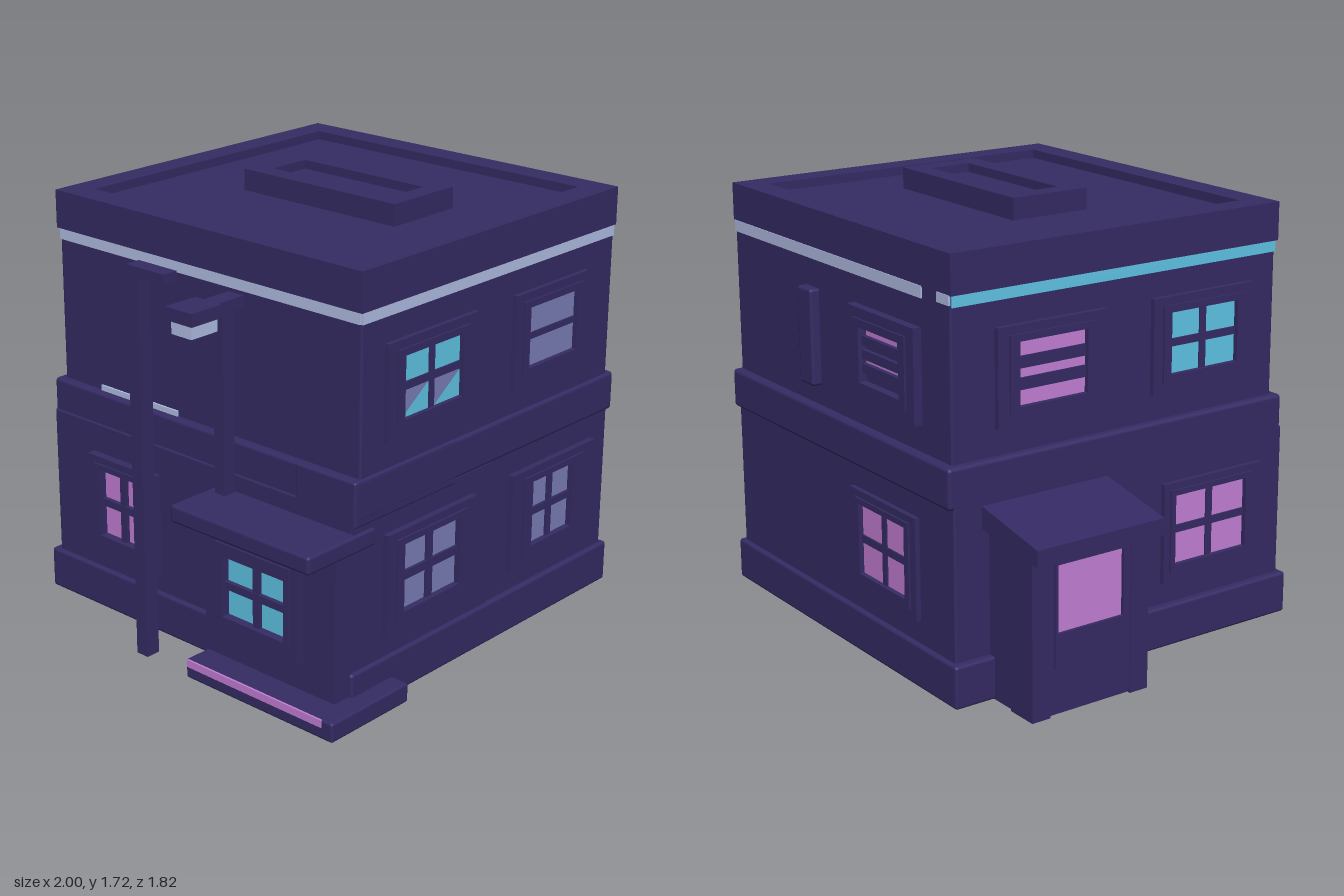
import * as THREE from 'three';
import { RoundedBoxGeometry } from 'three/addons/geometries/RoundedBoxGeometry.js';

const mat = (name, color) => {
  const m = new THREE.MeshStandardMaterial({ color });
  m.name = name;
  return m;
};
const wall = mat('dark indigo', 0x352b64);
const under = mat('deep plum', 0x421a62);
const lavender = mat('lavender glass', 0x7b7db6);
const pale = mat('pale strip light', 0xb2bee6);
const cyan = mat('cyan glass', 0x64cdf0);
const pink = mat('pink glass', 0xc47fd6);

export function createModel() {
  const model = new THREE.Group();
  model.name = 'house';

  const add = (name, geo, m, parent = model) => {
    const mesh = new THREE.Mesh(geo, m);
    mesh.name = name;
    parent.add(mesh);
    return mesh;
  };

  // Box given by its extents; r > 0 softens the edges
  const box = (name, x0, x1, y0, y1, z0, z1, m = wall, r = 0, parent = model) => {
    const s = [x1 - x0, y1 - y0, z1 - z0];
    const geo = r ? new RoundedBoxGeometry(...s, 2, r) : new THREE.BoxGeometry(...s);
    geo.translate((x0 + x1) / 2, (y0 + y1) / 2, (z0 + z1) / 2);
    return add(name, geo, m, parent);
  };

  // Rectangle [a0, a1, b0, b1] with a rectangular hole, extruded along z
  const corners = ([a0, a1, b0, b1]) =>
    [[a0, b0], [a1, b0], [a1, b1], [a0, b1]].map((p) => new THREE.Vector2(...p));
  const ring = (out, inn, depth) => {
    const shape = new THREE.Shape(corners(out));
    shape.holes.push(new THREE.Path(corners(inn)));
    return new THREE.ExtrudeGeometry(shape, { depth, bevelEnabled: false });
  };

  // Main storeys
  box('plinth', -0.695, 0.925, 0.002, 0.17, -0.9, 0.68, wall, 0.012);
  box('groundFloor', -0.665, 0.905, 0.1, 0.78, -0.88, 0.66, wall, 0.01);
  box('floorBand', -0.665, 0.915, 0.75, 0.908, -0.9, 0.655, wall, 0.015);
  box('floorBandCorner', 0.63, 0.914, 0.73, 0.908, 0.09, 0.66, wall, 0.01);
  box('upperFloor', -0.635, 0.903, 0.85, 1.55, -0.865, 0.622, wall, 0.01);
  box('wallSeam', 0.9, 0.91, 0.17, 0.75, -0.115, 0.66);

  // Strip lights below the parapet
  box('frontStripLight', -0.63, 0.898, 1.477, 1.522, 0.62, 0.628, pale);
  box('rightStripLight', 0.9, 0.908, 1.477, 1.522, -0.86, 0.622, pale);
  box('backStripLight', -0.46, 0.898, 1.477, 1.522, -0.871, -0.863, pale);
  box('backStripLightEnd', -0.635, -0.56, 1.485, 1.522, -0.871, -0.863, pale);
  box('leftStripLight', -0.641, -0.633, 1.477, 1.522, -0.86, 0.62, cyan);
  box('ledgeLight', -0.42, 0, 0.905, 0.93, 0.622, 0.63, pale);

  // Roof with a raised rim and a hollow vent
  const flat = (name, out, inn, y0, y1) => {
    const g = ring(out, inn, y1 - y0);
    g.rotateX(-Math.PI / 2).translate(0, y0, 0);
    return add(name, g, wall);
  };
  flat('parapet', [-0.645, 0.91, -0.63, 0.868], [-0.54, 0.8, -0.52, 0.76], 1.52, 1.67);
  box('roofDeck', -0.58, 0.84, 1.53, 1.635, -0.8, 0.56);
  flat('roofVent', [-0.2, 0.56, -0.05, 0.29], [-0.12, 0.48, 0.03, 0.21], 1.63, 1.72);
  box('roofVentFloor', -0.14, 0.5, 1.62, 1.685, -0.23, -0.01);

  // Windows: out and inn are [a0, a1, y0, y1], a being world x or z along the wall
  const faces = {
    front: { turn: 0, sign: 1 },
    right: { turn: Math.PI / 2, sign: -1 },
    back: { turn: Math.PI, sign: -1 },
    left: { turn: -Math.PI / 2, sign: 1 },
  };
  const addWindow = (name, face, offset, out, inn, cols, rows, glass, bar = 0.03, depth = 0.035) => {
    const { turn, sign } = faces[face];
    const local = ([a, b, c, d]) => (sign > 0 ? [a, b, c, d] : [-b, -a, c, d]);
    const o = local(out), i = local(inn);
    const g = new THREE.Group();
    g.name = name;
    g.rotation.y = turn;
    g.position.set(Math.sin(turn) * offset, 0, Math.cos(turn) * offset);
    model.add(g);
    add('frame', ring(o, i, depth), wall, g);
    const mid = o.map((v, k) => v * 0.45 + i[k] * 0.55);
    add('innerTrim', ring(mid, i, depth + 0.008), wall, g);
    const w = (i[1] - i[0]) / cols, h = (i[3] - i[2]) / rows;
    for (let c = 0; c < cols; c++)
      for (let r = 0; r < rows; r++) {
        const x = i[0] + c * w, y = i[2] + r * h;
        box('pane', x, x + w, y, y + h, 0.001, 0.008, glass[(r * cols + c) % glass.length], 0, g);
      }
    for (let c = 1; c < cols; c++)
      box('mullion', i[0] + c * w - bar / 2, i[0] + c * w + bar / 2, i[2], i[3], 0, depth * 0.7, wall, 0, g);
    for (let r = 1; r < rows; r++)
      box('crossbar', i[0], i[1], i[2] + r * h - bar / 2, i[2] + r * h + bar / 2, 0, depth * 0.75, wall, 0, g);
  };
  addWindow('frontWindow', 'front', 0.66, [-0.44, -0.07, 0.25, 0.66], [-0.37, -0.14, 0.33, 0.61], 2, 2, [pink]);
  addWindow('porchWindow', 'front', 0.757, [0.31, 0.76, 0.2, 0.63], [0.395, 0.7, 0.27, 0.515], 2, 2, [cyan]);
  addWindow('rightUpperFrontWindow', 'right', 0.902, [0, 0.5, 1.01, 1.38], [0.09, 0.415, 1.08, 1.32], 2, 2, [lavender, lavender, cyan, cyan], 0.03, 0.02);
  addWindow('rightUpperBackWindow', 'right', 0.902, [-0.68, -0.23, 1.01, 1.38], [-0.61, -0.31, 1.08, 1.32], 1, 2, [lavender], 0.025, 0.02);
  addWindow('rightLowerFrontWindow', 'right', 0.91, [-0.01, 0.5, 0.26, 0.66], [0.095, 0.415, 0.335, 0.605], 2, 2, [lavender], 0.035, 0.025);
  addWindow('rightLowerBackWindow', 'right', 0.905, [-0.77, -0.24, 0.26, 0.66], [-0.62, -0.36, 0.335, 0.605], 2, 2, [lavender], 0.03, 0.025);
  addWindow('backUpperWindow', 'back', 0.865, [-0.45, 0, 1.01, 1.37], [-0.36, -0.09, 1.09, 1.3], 1, 4, [wall, pink, wall, pink], 0.035);
  addWindow('backLowerWindow', 'back', 0.88, [-0.44, 0.01, 0.26, 0.66], [-0.375, -0.06, 0.33, 0.61], 2, 2, [pink], 0.03, 0.02);
  addWindow('leftUpperBackWindow', 'left', 0.635, [-0.68, -0.2, 1.01, 1.38], [-0.59, -0.29, 1.08, 1.32], 1, 3, [pink], 0.045, 0.02);
  addWindow('leftUpperFrontWindow', 'left', 0.635, [0.02, 0.5, 1.01, 1.38], [0.1, 0.42, 1.08, 1.32], 2, 2, [cyan], 0.03, 0.02);
  addWindow('leftLowerWindow', 'left', 0.665, [0.06, 0.54, 0.26, 0.66], [0.11, 0.46, 0.33, 0.61], 2, 2, [pink], 0.03, 0.02);

  // Slanted cyan tint across the two lower panes of one side window
  for (const z of [0.415, 0.235]) {
    const tint = new THREE.Shape([[-z, 1.08], [0.15 - z, 1.08], [0.15 - z, 1.185]].map((p) => new THREE.Vector2(...p)));
    add('paneTint', new THREE.ShapeGeometry(tint).rotateY(Math.PI / 2).translate(0.912, 0, 0), cyan);
  }

  // Upright fin on the back wall
  box('backFin', 0.25, 0.35, 0.99, 1.37, -0.908, -0.86, wall, 0.012);

  // Front porch
  box('porchBase', 0.27, 1, 0.002, 0.08, 0.45, 0.87, wall, 0.01);
  box('porchStepLight', 0.28, 0.95, 0.05, 0.08, 0.866, 0.874, pink);
  box('porchWall', 0.265, 0.91, 0.07, 0.66, 0.6, 0.757);
  box('porchRoof', 0.24, 0.92, 0.64, 0.71, 0.55, 0.908, wall, 0.012);

  // Tall pole with a short arm
  box('tallPole', -0.012, 0.045, 0, 1.55, 0.795, 0.855);
  box('tallPoleArm', -0.015, 0.178, 1.515, 1.555, 0.79, 0.855);

  // Street lamp standing on the porch roof
  box('lampPost', 0.285, 0.335, 0.7, 1.44, 0.665, 0.72);
  box('lampArm', 0.27, 0.345, 1.415, 1.46, 0.62, 0.78);
  box('lampHead', 0.24, 0.37, 1.415, 1.465, 0.76, 0.908);
  box('lampLight', 0.265, 0.365, 1.368, 1.415, 0.775, 0.905, pale);

  // Side entrance with a sloping roof
  box('entranceWall', -0.925, -0.65, 0.002, 0.64, -0.73, -0.23);
  for (const z of [-0.74, -0.3])
    box('entrancePost', -0.94, -0.81, 0.002, 0.645, z, z + 0.08);
  const slope = new THREE.Shape([
    [-1, 0.615], [-0.63, 0.665], [-0.63, 0.752], [-1, 0.68],
  ].map((p) => new THREE.Vector2(...p)));
  const roof = new THREE.ExtrudeGeometry(slope, { depth: 0.56, bevelEnabled: false });
  add('entranceRoof', roof.translate(0, 0, -0.76), wall);
  addWindow('entranceDoor', 'left', 0.925, [-0.66, -0.3, 0.02, 0.62], [-0.63, -0.34, 0.32, 0.58], 1, 1, [pink], 0.03, 0.012);

  // Undersides
  const underside = (x0, x1, z0, z1) => {
    const g = new THREE.PlaneGeometry(x1 - x0, z1 - z0).rotateX(Math.PI / 2);
    add('underside', g.translate((x0 + x1) / 2, 0, (z0 + z1) / 2), under);
  };
  underside(-0.695, 0.925, -0.9, 0.68);
  underside(0.27, 1, 0.68, 0.87);
  underside(0.925, 1, 0.45, 0.68);
  underside(-0.94, -0.695, -0.74, -0.22);

  return model;
}
